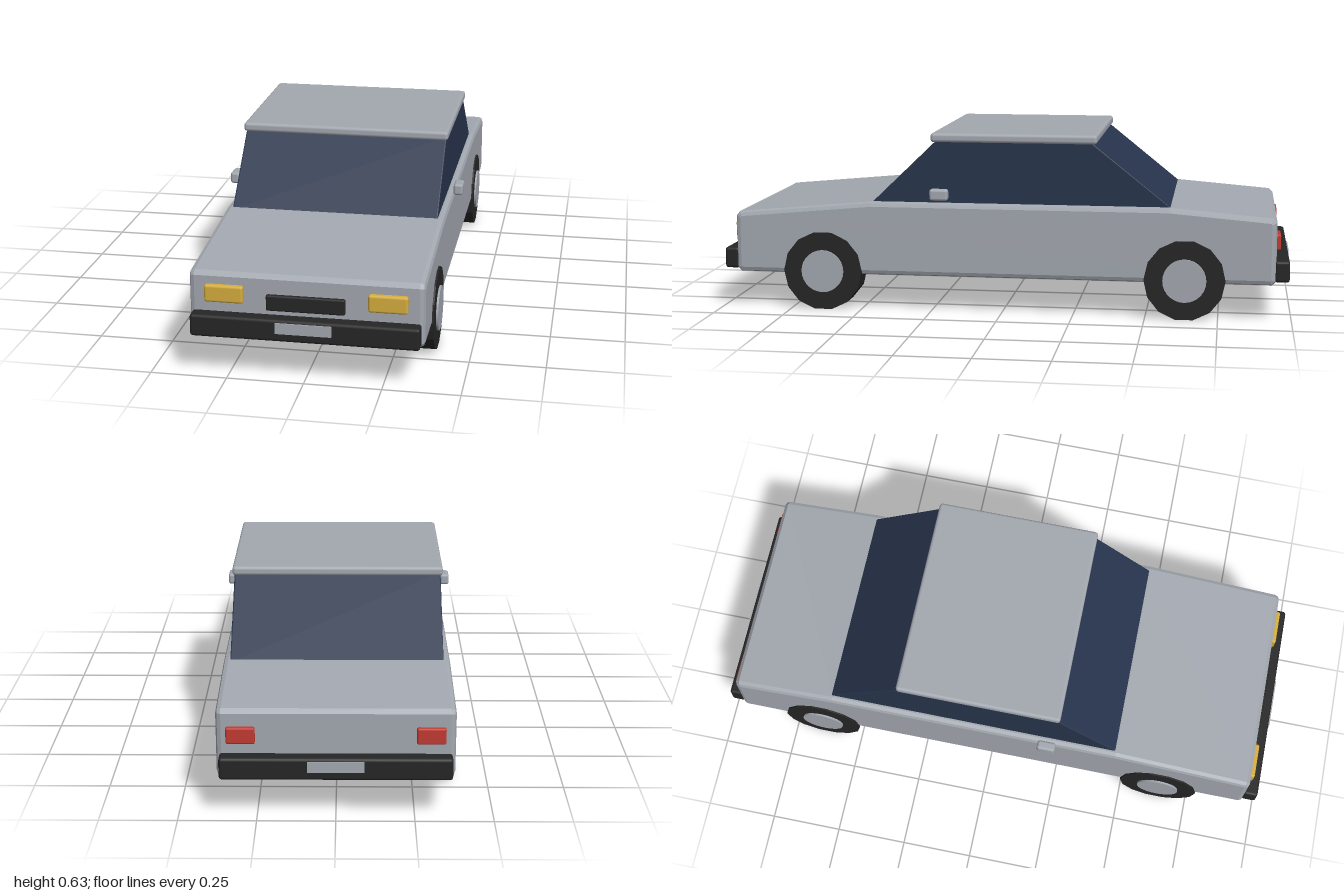
import * as THREE from 'three';
import { toCreasedNormals } from 'three/addons/utils/BufferGeometryUtils.js';
import { RoundedBoxGeometry } from 'three/addons/geometries/RoundedBoxGeometry.js';

function material(name, color) {
  const m = new THREE.MeshStandardMaterial({ color });
  m.name = name;
  return m;
}

export function createModel() {
  const car = new THREE.Group();
  car.name = 'car';
  const paint = material('silver paint', 0xa3a8b0);
  const glass = material('dark blue glass', 0x27344c);
  const black = material('black rubber', 0x252625);
  const amber = material('amber lamp', 0xd6ae3e);
  const red = material('red lamp', 0xc23a32);

  function add(name, geometry, mat, x = 0, y = 0, z = 0) {
    const mesh = new THREE.Mesh(geometry, mat);
    mesh.name = name;
    mesh.position.set(x, y, z);
    car.add(mesh);
    return mesh;
  }

  // Box with softened edges, given by its centre and size
  function box(name, mat, [x, y, z], [w, h, d], r) {
    return add(name, new RoundedBoxGeometry(w, h, d, 2, r), mat, x, y, z);
  }

  // Side profile of (z, y) points extruded across the width, with bevelled sides
  function across(points, width, bevel) {
    const shape = new THREE.Shape(points.map(([z, y]) => new THREE.Vector2(z, y)));
    const g = new THREE.ExtrudeGeometry(shape, {
      depth: width - 2 * bevel, bevelThickness: bevel, bevelSize: bevel,
      bevelOffset: -bevel, bevelSegments: 2, steps: 1,
    });
    g.translate(0, 0, -(width / 2 - bevel));
    g.rotateY(-Math.PI / 2);
    return g;
  }

  // Lower body: sloping bonnet and boot with chamfered ends
  add('body', across([
    [0.937, 0.126], [0.95, 0.139], [0.95, 0.327], [0.937, 0.342],
    [0.46, 0.386], [-0.58, 0.386],
    [-0.932, 0.357], [-0.945, 0.343], [-0.945, 0.139], [-0.932, 0.126],
  ], 0.756, 0.017), paint);

  // Glasshouse and roof
  add('windows', across([
    [0.462, 0.38], [0.228, 0.605], [-0.31, 0.605], [-0.59, 0.38],
  ], 0.71, 0.004), glass);
  box('roof', paint, [0, 0.613, -0.04], [0.724, 0.032, 0.58], 0.011);

  // Bumpers with a plain plate on each
  for (const [end, s, face] of [['front', 1, 0.95], ['rear', -1, 0.945]]) {
    box(end + 'Bumper', black, [0, 0.173, s * (face + 0.02)], [0.736, 0.074, 0.052], 0.01);
    add(end + 'Plate', new THREE.BoxGeometry(0.18, 0.036, 0.008), paint, 0, 0.183, s * (face + 0.046));
  }

  // Grille
  box('grille', black, [0, 0.251, 0.95], [0.254, 0.053, 0.024], 0.006);

  // Tyre with flat facets and a round hubcap on its outer side
  const tyreGeo = new THREE.CylinderGeometry(0.14, 0.14, 0.092, 14).rotateZ(Math.PI / 2).toNonIndexed();
  tyreGeo.computeVertexNormals();
  const hubGeo = toCreasedNormals(
    new THREE.CylinderGeometry(0.075, 0.075, 0.02, 28).rotateZ(Math.PI / 2), Math.PI / 4);

  // Parts mirrored left and right
  for (const [side, s] of [['left', 1], ['right', -1]]) {
    box(side + 'Headlight', amber, [s * 0.263, 0.272, 0.95], [0.126, 0.058, 0.032], 0.008);
    box(side + 'TailLight', red, [s * 0.3, 0.272, -0.945], [0.092, 0.055, 0.028], 0.006);
    box(side + 'Mirror', paint, [s * 0.4, 0.42, 0.213], [0.033, 0.04, 0.064], 0.009);
    for (const [end, z] of [['Front', 0.635], ['Rear', -0.635]]) {
      add(side + end + 'Tyre', tyreGeo, black, s * 0.338, 0.137, z);
      add(side + end + 'Hubcap', hubGeo, paint, s * 0.381, 0.137, z);
    }
  }

  return car;
}
